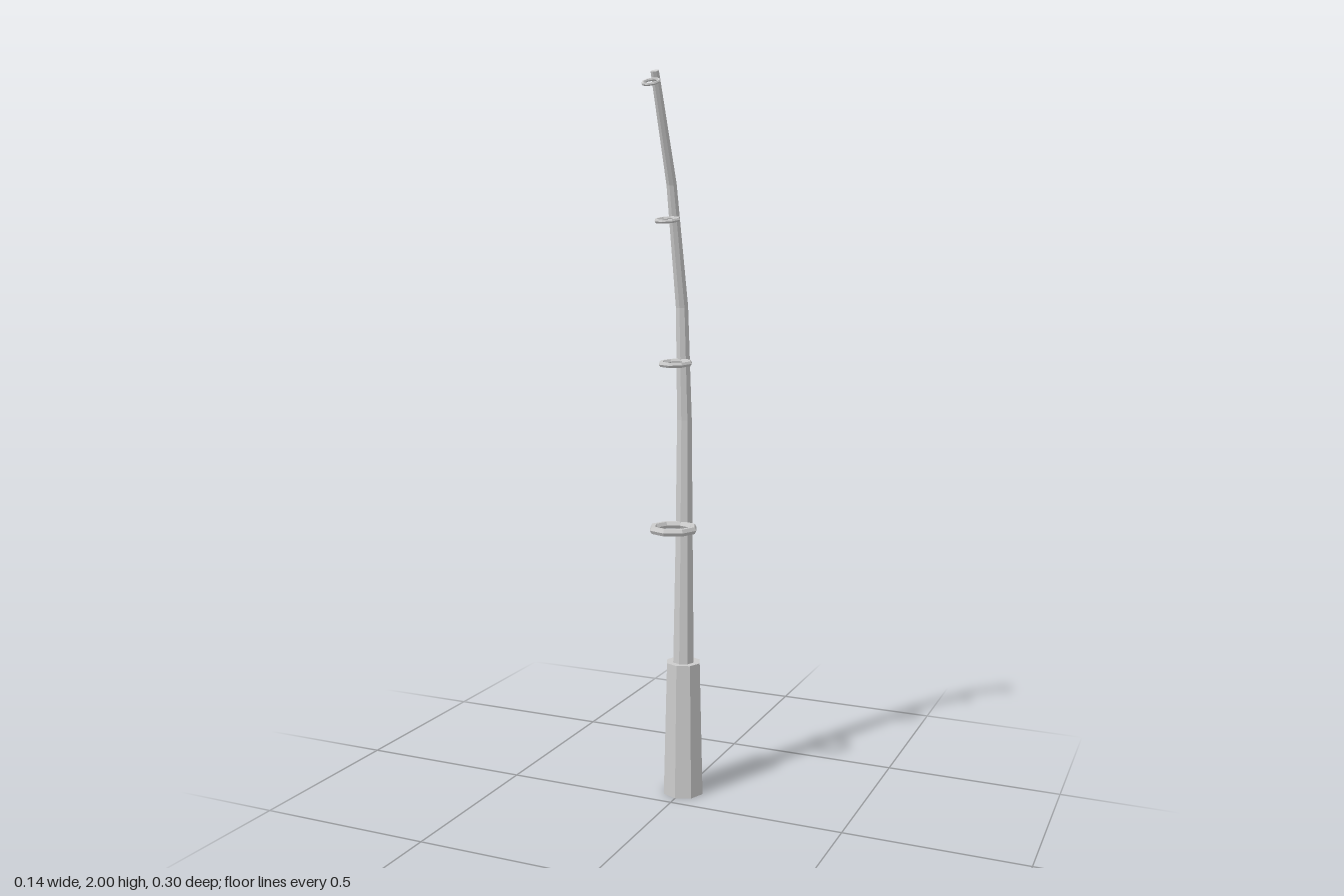
import * as THREE from 'three';

const material = new THREE.MeshStandardMaterial({ color: 0xcccccc, flatShading: true });
const SIDES = 8;

// Curved tapering blank: [y, z, radius] at each bend
const BLANK = [
  [0.34, -0.09, 0.032],
  [0.73, -0.094, 0.026],
  [1.08, -0.095, 0.022],
  [1.39, -0.077, 0.018],
  [1.715, -0.006, 0.0145],
  [1.994, 0.101, 0.0115],
];

// Line guides: [y, z, outer radius, forward tilt]
const GUIDES = [
  [0.785, -0.018, 0.069, 0],
  [1.24, -0.032, 0.048, 0.07],
  [1.622, 0.022, 0.036, 0.17],
  [1.964, 0.124, 0.026, 0.42],
];

// Octagonal cross-sections set square to the path, joined and capped
function blankGeometry() {
  const positions = [];
  const index = [];
  const last = BLANK.length - 1;
  BLANK.forEach(([y, z, r], i) => {
    const a = BLANK[Math.max(i - 1, 0)];
    const b = BLANK[Math.min(i + 1, last)];
    const lean = Math.atan2(b[1] - a[1], b[0] - a[0]);
    for (let s = 0; s < SIDES; s++) {
      const t = (s / SIDES) * Math.PI * 2;
      const forward = Math.cos(t) * r;
      positions.push(Math.sin(t) * r, y - forward * Math.sin(lean), z + forward * Math.cos(lean));
    }
  });
  for (let i = 0; i < last; i++) {
    for (let s = 0; s < SIDES; s++) {
      const a = i * SIDES + s;
      const b = i * SIDES + ((s + 1) % SIDES);
      index.push(a, b, b + SIDES, a, b + SIDES, a + SIDES);
    }
  }
  for (let s = 1; s < SIDES - 1; s++) {
    index.push(0, s + 1, s);
    index.push(last * SIDES, last * SIDES + s, last * SIDES + s + 1);
  }
  const geometry = new THREE.BufferGeometry();
  geometry.setAttribute('position', new THREE.Float32BufferAttribute(positions, 3));
  geometry.setIndex(index);
  geometry.computeVertexNormals();
  return geometry;
}

export function createModel() {
  const model = new THREE.Group();
  model.name = 'fishingRod';

  const add = (name, geometry) => {
    const mesh = new THREE.Mesh(geometry, material);
    mesh.name = name;
    model.add(mesh);
    return mesh;
  };

  // Handle
  add('handle', new THREE.CylinderGeometry(0.05, 0.06, 0.387, SIDES)).position.set(0, 0.1935, -0.09);

  // Bent rod
  add('rod', blankGeometry());

  // Guide rings along the front of the rod
  GUIDES.forEach(([y, z, outer, tilt], i) => {
    const tube = outer * 0.16;
    const ring = add('lineGuide' + (i + 1), new THREE.TorusGeometry(outer - tube, tube, 6, SIDES));
    ring.position.set(0, y, z);
    ring.rotation.x = Math.PI / 2 + tilt;
  });

  return model;
}
